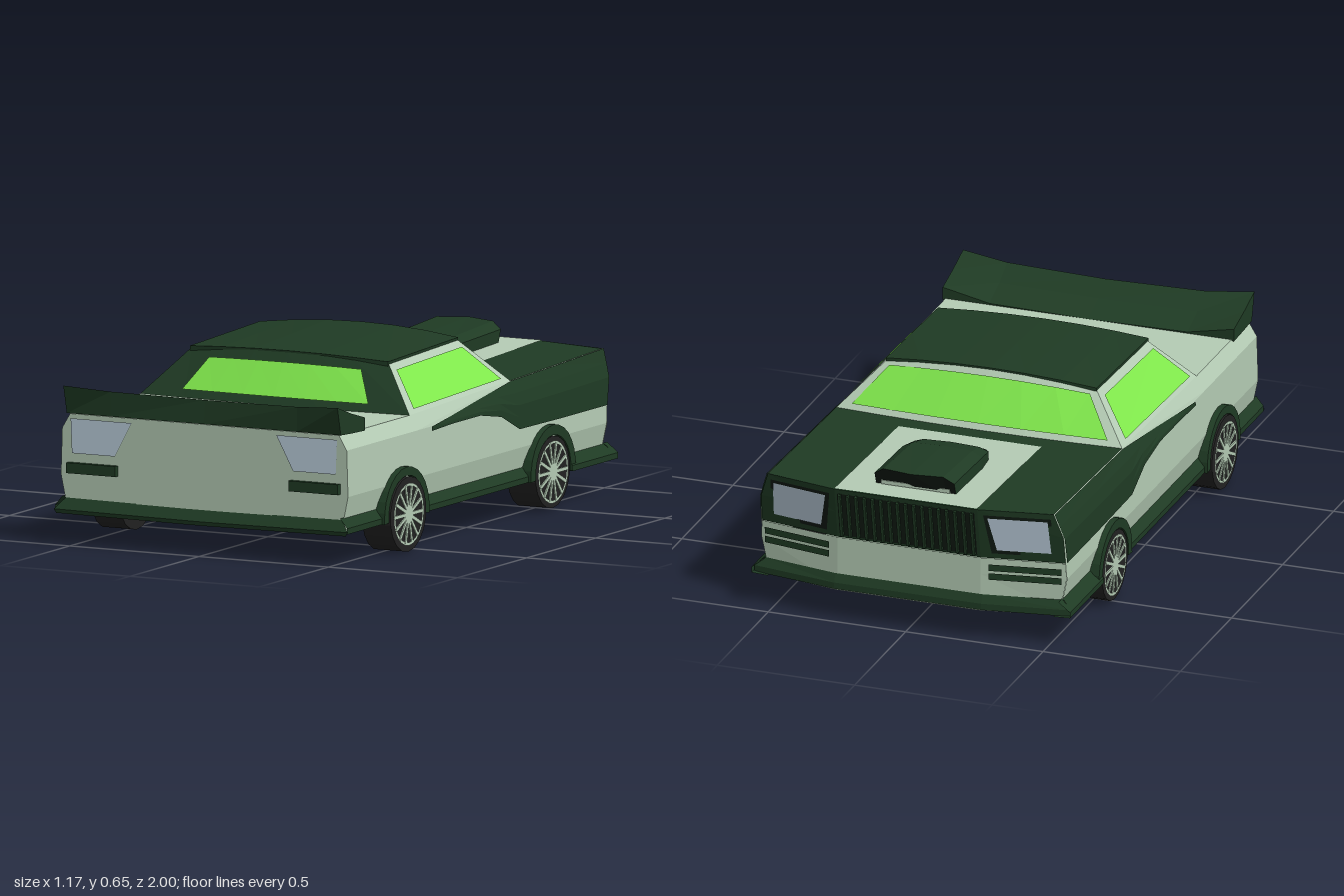
import * as THREE from 'three';

const paint = (color) => new THREE.MeshStandardMaterial({ color, flatShading: true, side: THREE.DoubleSide });
const lerp = THREE.MathUtils.lerp;
const clamp = THREE.MathUtils.clamp;

// Piecewise linear lookup through [key, value] pairs with descending keys
function table(pairs, k) {
  for (let i = 1; i < pairs.length; i++) {
    const [k0, v0] = pairs[i - 1], [k1, v1] = pairs[i];
    if (k >= k1) return lerp(v0, v1, clamp((k - k0) / (k1 - k0), 0, 1));
  }
  return pairs[pairs.length - 1][1];
}

// Shape rules of the body shell
const topY = (z) => table([[0.97, 0.45], [0.45, 0.45], [-0.28, 0.47], [-1, 0.49]], z);
const sideX = (y, z) => table([[topY(z), 0.52], [0.4, 0.55], [0.24, 0.555], [0.12, 0.53]], y);
const noseZ = (x, y) => table([[0.49, -1], [0.3, -0.965], [0.12, -0.96]], y)
  + 0.05 * clamp((Math.abs(x) - 0.26) / 0.26, 0, 1);
const roofY = (v, bow) => lerp(0.605, 0.62, v) + (0.012 + 0.013 * v) * bow;

export function createModel() {
  const car = new THREE.Group();
  car.name = 'car';
  const light = paint(0xb5ccb5), dark = paint(0x1f3b24), glass = paint(0x80e84c);
  const lamp = paint(0xbdd0de), rubber = paint(0x222222), black = paint(0x101a12);

  const add = (name, geo, mat, parent = car) => {
    const m = new THREE.Mesh(geo, mat);
    m.name = name;
    parent.add(m);
    return m;
  };
  // Surface through rows of equally many points
  const surface = (name, rows, mat) => {
    const pos = [], idx = [], n = rows[0].length;
    rows.forEach((r) => r.forEach((p) => pos.push(...p)));
    for (let i = 0; i < rows.length - 1; i++) for (let j = 0; j < n - 1; j++) {
      const a = i * n + j, b = a + n;
      idx.push(a, b, a + 1, a + 1, b, b + 1);
    }
    const g = new THREE.BufferGeometry();
    g.setAttribute('position', new THREE.Float32BufferAttribute(pos, 3));
    g.setIndex(idx);
    g.computeVertexNormals();
    return add(name, g, mat);
  };
  // Sampled piece of a parametric panel fn(u, v)
  const patch = (name, fn, [u0, u1, v0, v1], mat, nu = 1, nv = 1) => {
    const rows = [];
    for (let j = 0; j <= nv; j++) {
      const row = [];
      for (let i = 0; i <= nu; i++) row.push(fn(lerp(u0, u1, i / nu), lerp(v0, v1, j / nv)));
      rows.push(row);
    }
    return surface(name, rows, mat);
  };

  // Body shell
  const xs = [-0.52, -0.26, 0, 0.26, 0.52];
  surface('hood', [-0.28, -1].map((z) => xs.map((x) => {
    const zz = z === -1 ? noseZ(x, 0.49) : z;
    return [x, topY(zz), zz];
  })), dark);
  surface('hoodStripe', [[-0.37, 0.474], [-0.999, 0.493]].map(([z, y]) => [[-0.26, y, z], [0.26, y, z]]), light);
  surface('rearDeck', [0.44, 0.96].map((z) => [[-0.52, 0.45, z], [0.52, 0.45, z]]), light);
  surface('rearPanel', [0.45, 0.4, 0.24, 0.12].map((y) => [-1, 1].map((s) => [s * sideX(y, 0.96), y, 0.96])), light);
  const noseRow = (y, o = 0) => [-1, -0.5, 0.5, 1].map((k) => {
    const x = Math.abs(k) === 1 ? k * sideX(y, -0.95) : k * 0.52;
    return [x, y, noseZ(x, y) - o];
  });
  surface('noseUpper', [0.49, 0.4, 0.3].map((y) => noseRow(y)), dark);
  surface('frontBumper', [0.3, 0.24, 0.12].map((y) => noseRow(y, 0.004)), light);
  surface('floor', [[0.53, 0.97], [0.55, -0.93], [0.26, -0.985]].map(([x, z]) => [[-x, 0.112, z], [x, 0.112, z]]), light);

  for (const s of [1, -1]) {
    const tag = s > 0 ? 'left' : 'right';
    // Body side with its upper dark sweep
    const zs = [0.96, 0.45, -0.28, -1];
    surface(tag + 'BodySide', zs.map((z) => [null, 0.4, 0.24, 0.12].map((r) => {
      const y = r ?? topY(z), x = sideX(y, z);
      return [s * x, y, z === -1 ? noseZ(x, y) : z];
    })), light);
    const sweep = [[0.35, 0.385, 0.4], [0.2, 0.39, 0.415], [0, 0.39, 0.438], [-0.15, 0.365, 0.455],
      [-0.28, 0.305, 0.47], [-0.6, 0.302, 0.479], [-1, 0.302, 0.49]];
    surface(tag + 'SideSweep', sweep.map(([z, lo, hi]) => [0, 0.25, 0.5, 0.75, 1].map((t) => {
      const y = lerp(lo, hi, t), x = sideX(y, z);
      return [s * (x + 0.004), y, z === -1 ? noseZ(x, y) : z];
    })), dark);
    // Flared sills
    for (const [z0, z1, x] of [[0.7, 0.985, 0.565], [-0.37, 0.43, 0.565], [-0.95, -0.62, 0.58]])
      surface(tag + 'Sill', [z0, z1].map((z) => [[s * 0.537, 0.168, z], [s * x, 0.135, z], [s * x, 0.115, z], [s * 0.52, 0.112, z]]), dark);

    // Lamps and bumper strips
    const onNose = (x, y, o = 0.007) => [s * x, y, noseZ(x, y) - o];
    surface(tag + 'HeadlampFrame', [[onNose(0.28, 0.47, 0.003), onNose(0.51, 0.47, 0.003)],
      [onNose(0.3, 0.32, 0.003), onNose(0.52, 0.32, 0.003)]], black);
    surface(tag + 'Headlamp', [[onNose(0.295, 0.46), onNose(0.5, 0.46)], [onNose(0.32, 0.335), onNose(0.505, 0.335)]], lamp);
    for (const y of [0.268, 0.235])
      surface(tag + 'FrontStrip', [[onNose(0.29, y + 0.012, 0.012), onNose(0.54, y + 0.012, 0.012)],
        [onNose(0.29, y - 0.012, 0.012), onNose(0.54, y - 0.012, 0.012)]], dark);
    surface(tag + 'TailLamp', [[[s * 0.28, 0.435, 0.965], [s * 0.515, 0.435, 0.965]],
      [[s * 0.345, 0.315, 0.965], [s * 0.51, 0.315, 0.965]]], lamp);
    add(tag + 'RearStrip', new THREE.BoxGeometry(0.19, 0.036, 0.03), dark).position.set(s * 0.43, 0.265, 0.965);

    // Wheels and arches
    for (const [end, z, face, r] of [['Rear', 0.57, 0.583, 0.13], ['Front', -0.49, 0.575, 0.125]]) {
      const wheel = new THREE.Group();
      wheel.name = tag + end + 'Wheel';
      wheel.position.set(s * face, 0.13, z);
      wheel.rotation.y = s * Math.PI / 2;
      car.add(wheel);
      const tyre = add('tyre', new THREE.CylinderGeometry(r, r, 0.11, 18), rubber, wheel);
      tyre.rotation.x = Math.PI / 2;
      tyre.position.z = -0.058;
      add('rim', new THREE.RingGeometry(0.098, 0.108, 24), light, wheel).position.z = 0;
      add('hub', new THREE.CircleGeometry(0.024, 14), light, wheel).position.z = 0.002;
      for (let i = 0; i < 14; i++) {
        const a = i / 14 * Math.PI * 2;
        const spoke = add('spoke', new THREE.BoxGeometry(0.085, 0.012, 0.006), light, wheel);
        spoke.position.set(Math.cos(a) * 0.06, Math.sin(a) * 0.06, -0.002);
        spoke.rotation.z = a;
      }
      const arc = new THREE.Shape();
      arc.absarc(0, 0, 0.163, -0.1, Math.PI + 0.1, false);
      arc.absarc(0, 0, r + 0.003, Math.PI + 0.1, -0.1, true);
      const arch = add(tag + end + 'Arch', new THREE.ExtrudeGeometry(arc, { depth: 0.05, bevelEnabled: false, curveSegments: 7 }), dark);
      arch.rotation.y = Math.PI / 2;
      arch.position.set(s > 0 ? 0.525 : -0.575, 0.13, z);
    }

    // Cabin side and window
    const cabinSide = (o) => (u, v) => [s * (lerp(0.52, 0.38, v) + o),
      lerp(lerp(0.45, 0.47, u), roofY(u, 0), v) + o * 0.6,
      lerp(lerp(0.45, -0.28, u), lerp(0.34, -0.155, u), v)];
    patch(tag + 'CabinSide', cabinSide(0), [0, 1, 0, 1], light);
    patch(tag + 'SideWindow', cabinSide(0.004), [0.05, 0.94, 0.08, 0.84], glass);
  }

  // Windscreen and rear window panels
  const cabinEnd = (front, o) => (u, v) => {
    const k = 2 * u - 1, bow = 1 - k * k;
    return [lerp(0.52, 0.38, v) * k, lerp(front ? 0.47 : 0.45, roofY(front ? 1 : 0, bow), v) + o,
      front ? lerp(-0.28, -0.155, v) - 0.02 * bow - o : lerp(0.45, 0.34, v) + 0.02 * bow + o];
  };
  patch('windscreenFrame', cabinEnd(true, 0), [0, 1, 0, 1], light, 6);
  patch('windscreen', cabinEnd(true, 0.004), [0.04, 0.96, 0.1, 0.88], glass, 6);
  patch('rearWindowFrame', cabinEnd(false, 0), [0, 1, 0, 1], dark, 6);
  patch('rearWindow', cabinEnd(false, 0.004), [0.14, 0.86, 0.14, 0.8], glass, 6);

  // Roof with a thin folded rim
  const roofPoint = (u, v, drop) => {
    const k = 2 * u - 1, bow = 1 - k * k;
    return [0.383 * k, roofY(v, bow) + 0.006 - drop, lerp(0.348 + 0.01 * bow, -0.16 - 0.015 * bow, v)];
  };
  patch('roof', (u, v) => roofPoint(u, v, 0), [0, 1, 0, 1], dark, 6, 2);
  for (const e of [0, 1]) {
    patch('roofEndRim', (u, d) => roofPoint(u, e, d), [0, 1, 0, 0.02], dark, 6);
    patch('roofSideRim', (v, d) => roofPoint(e, v, d), [0, 1, 0, 0.02], dark);
  }

  // Front and rear lips
  surface('frontLip', [[0.165, 0, 0.006], [0.135, 0.03, 0.02], [0.112, 0.03, 0.02]].map(([y, w, o]) =>
    [-1, -0.5, 0.5, 1].map((k) => [k * (0.535 + (Math.abs(k) === 1 ? w + 0.01 : 0)), y, noseZ(k * 0.52, y) - o])), dark);
  surface('rearLip', [[0.535, 0.16, 0.963], [0.568, 0.122, 0.988], [0.56, 0.108, 0.985], [0.53, 0.11, 0.95]].map(([x, y, z]) =>
    [[-x, y, z], [0, y - 0.004, z], [x, y, z]]), dark);
  surface('trunkPanel', [[0.278, 0.3], [0.262, 0.155]].map(([x, y]) => [[-x, y, 0.964], [x, y, 0.964]]), light);

  // Grille
  patch('grille', (x, y) => [x, y, noseZ(x, y) - 0.004], [-0.25, 0.25, 0.31, 0.475], black);
  for (let i = 0; i < 17; i++) {
    const bar = add('grilleBar', new THREE.BoxGeometry(0.01, 0.165, 0.014), dark);
    bar.position.set(-0.24 + i * 0.03, 0.392, noseZ(0, 0.392) - 0.007);
    bar.rotation.x = -0.18;
  }

  // Hood scoop
  const scoop = [[-0.49, 0.1, 0.495, 0], [-0.55, 0.135, 0.525, 0], [-0.64, 0.145, 0.547, 0], [-0.89, 0.145, 0.562, 0.035]];
  const ring = ([z, w, h, lean]) => [[-w, 0.47, z], [-w, lerp(0.48, h, 0.65), z - lean * 0.7], [-w * 0.75, h - 0.004, z - lean],
    [0, h, z - lean * 1.7], [w * 0.75, h - 0.004, z - lean], [w, lerp(0.48, h, 0.65), z - lean * 0.7], [w, 0.47, z]];
  surface('hoodScoop', scoop.map(ring), dark);
  const mouth = ring(scoop[3]);
  surface('scoopMouth', [mouth, mouth.map(([x]) => [x, 0.475, -0.89])], black);
  surface('scoopTail', [ring(scoop[0]), ring(scoop[0]).map(([x]) => [x, 0.47, -0.485])], dark);
  add('scoopLip', new THREE.BoxGeometry(0.25, 0.014, 0.02), light).position.set(0, 0.5, -0.897);

  // Rear spoiler: columns from deck edge to raised tips
  const wing = [[-0.53, 0.49, 0.55, 0.99], [-0.36, 0.455, 0.538, 0.965], [0, 0.45, 0.534, 0.955],
    [0.36, 0.455, 0.538, 0.965], [0.53, 0.49, 0.55, 0.99]];
  surface('spoiler', wing.map(([x, yf, yt, zt]) => [[x, 0.445, 0.79], [x, yf, 0.79], [x, lerp(yf, yt, 0.45), 0.89],
    [x, yt, zt], [x, 0.452, 0.965], [x, 0.445, 0.79]]), dark);
  for (const x of [-0.53, 0.53])
    surface('spoilerEnd', [[[x, 0.49, 0.79], [x, 0.517, 0.89], [x, 0.55, 0.99]],
      [[x, 0.445, 0.79], [x, 0.448, 0.89], [x, 0.452, 0.965]]], dark);

  return car;
}
